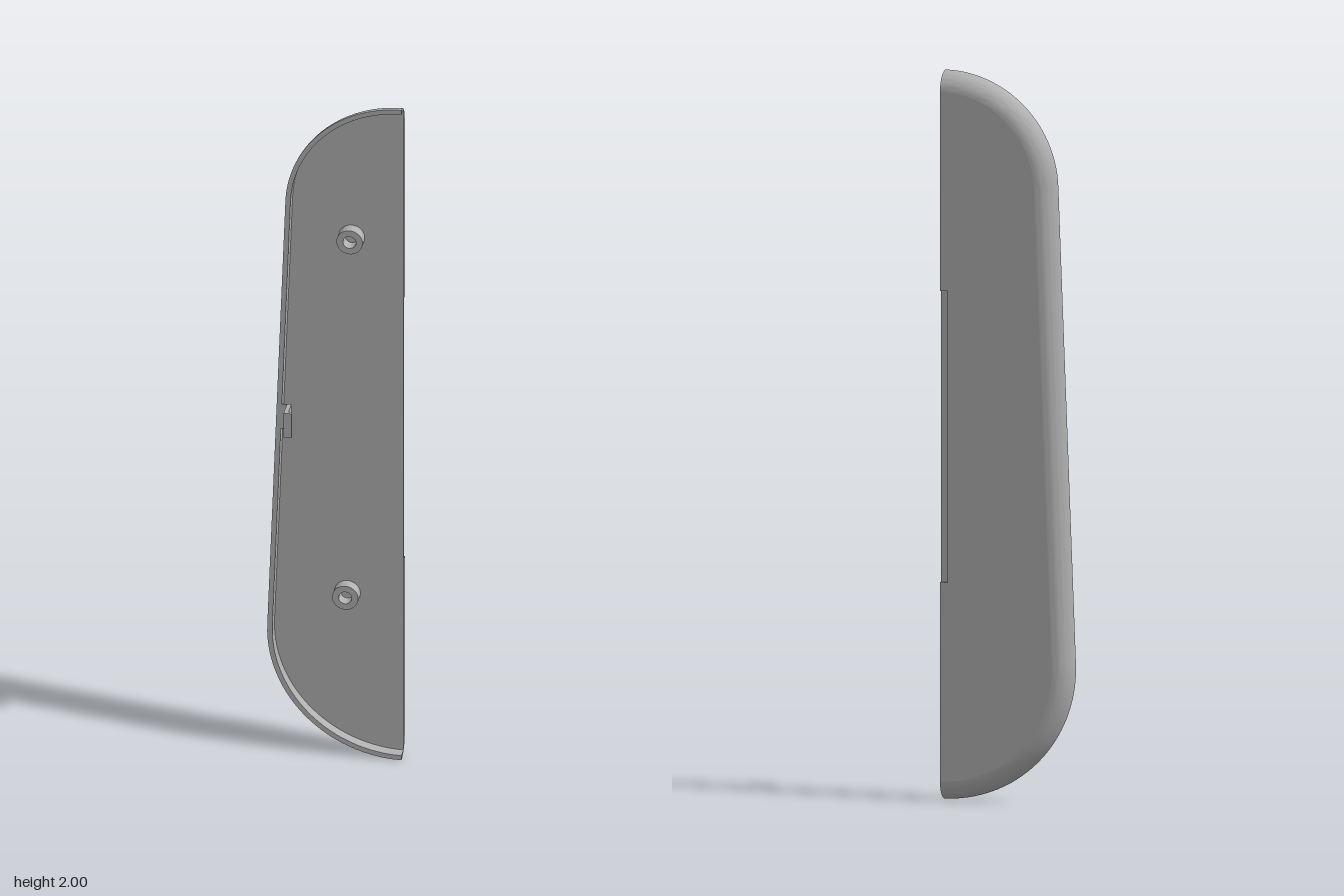
import * as THREE from 'three';
import { toCreasedNormals } from 'three/addons/utils/BufferGeometryUtils.js';

const EDGE = 0.183, DEPTH = 0.053, WALL = 0.014, FLOOR = -0.034;
const TOP = { y: 1.68, r: 0.32 }, BOTTOM = { y: 0.37, r: 0.37 };

// Half outline: two arcs joined by their common tangent, moved inward by d
function outline(d, steps = 28) {
  const tilt = Math.asin((BOTTOM.r - TOP.r) / (TOP.y - BOTTOM.y));
  const join = Math.PI - tilt;
  const pts = [];
  const arc = (c, from, to) => {
    for (let i = 0; i <= steps; i++) {
      const a = from + (to - from) * i / steps;
      pts.push(new THREE.Vector2(EDGE + (c.r - d) * Math.cos(a), c.y + (c.r - d) * Math.sin(a)));
    }
  };
  arc(TOP, Math.PI / 2, join);
  arc(BOTTOM, join, Math.PI * 1.5);
  return pts;
}

// Curved rim: a wall section swept along the outline, capped at the straight edge
function rimGeometry() {
  const section = [];
  for (let i = 0; i <= 12; i++) {
    const a = i / 12 * Math.PI / 2;
    section.push(new THREE.Vector2(DEPTH * (1 - Math.cos(a)), -DEPTH * Math.sin(a)));
  }
  section.push(new THREE.Vector2(DEPTH, FLOOR), new THREE.Vector2(WALL, FLOOR), new THREE.Vector2(WALL, 0));
  const n = section.length;
  const loops = section.map(s => outline(s.x));
  const m = loops[0].length;
  const pos = [], index = [];
  for (let i = 0; i < m; i++)
    for (let j = 0; j < n; j++) pos.push(loops[j][i].x, loops[j][i].y, section[j].y);
  for (let i = 0; i < m - 1; i++)
    for (let j = 0; j < n; j++) {
      const k = (j + 1) % n;
      const a = i * n + j, b = i * n + k, c = a + n, e = b + n;
      index.push(a, b, c, b, e, c);
    }
  const last = (m - 1) * n;
  for (const [a, b, c] of THREE.ShapeUtils.triangulateShape(section, []))
    index.push(a, c, b, last + a, last + b, last + c);
  const g = new THREE.BufferGeometry();
  g.setAttribute('position', new THREE.Float32BufferAttribute(pos, 3));
  g.setIndex(index);
  return toCreasedNormals(g, 0.6);
}

function extrude(shape, z0, z1) {
  const g = new THREE.ExtrudeGeometry(shape, { depth: z1 - z0, bevelEnabled: false, curveSegments: 32 });
  return g.translate(0, 0, z0);
}

export function createModel() {
  const grey = new THREE.MeshStandardMaterial({ color: 0xb0b0b0 });
  grey.name = 'grey plastic';
  const group = new THREE.Group();
  group.name = 'sideCover';
  const add = (name, geometry) => {
    const mesh = new THREE.Mesh(geometry, grey);
    mesh.name = name;
    group.add(mesh);
  };
  const box = (name, x0, x1, y0, y1, z0, z1) => add(name,
    new THREE.BoxGeometry(x1 - x0, y1 - y0, z1 - z0).translate((x0 + x1) / 2, (y0 + y1) / 2, (z0 + z1) / 2));

  add('curvedRim', rimGeometry());

  // Back panel in two layers; the outer one has a shallow notch at the straight edge
  const notchZ = -0.043, notchX = EDGE - 0.022;
  const notch = [[EDGE, 0.6], [notchX, 0.6], [notchX, 1.4], [EDGE, 1.4]].map(p => new THREE.Vector2(...p));
  add('innerPanel', extrude(new THREE.Shape(outline(DEPTH)), notchZ, FLOOR));
  add('outerPanel', extrude(new THREE.Shape([...outline(DEPTH), ...notch]), -DEPTH, notchZ));

  // Hollow screw posts
  for (const [name, x, y] of [['upperPost', 0.04, 1.58], ['lowerPost', 0.028, 0.485]]) {
    const ring = new THREE.Shape().absarc(x, y, 0.036, 0, Math.PI * 2);
    ring.holes.push(new THREE.Path().absarc(x, y, 0.018, 0, Math.PI * 2, true));
    add(name, toCreasedNormals(extrude(ring, FLOOR, 0), 0.6));
  }

  // Clip hook on the long wall
  box('hookBase', -0.152, -0.121, 0.99, 1.065, -0.004, 0);
  box('hookLeg', -0.133, -0.121, 0.99, 1.065, 0, 0.05);
  box('hookTip', -0.121, -0.111, 0.99, 1.065, 0.04, 0.05);
  return group;
}
